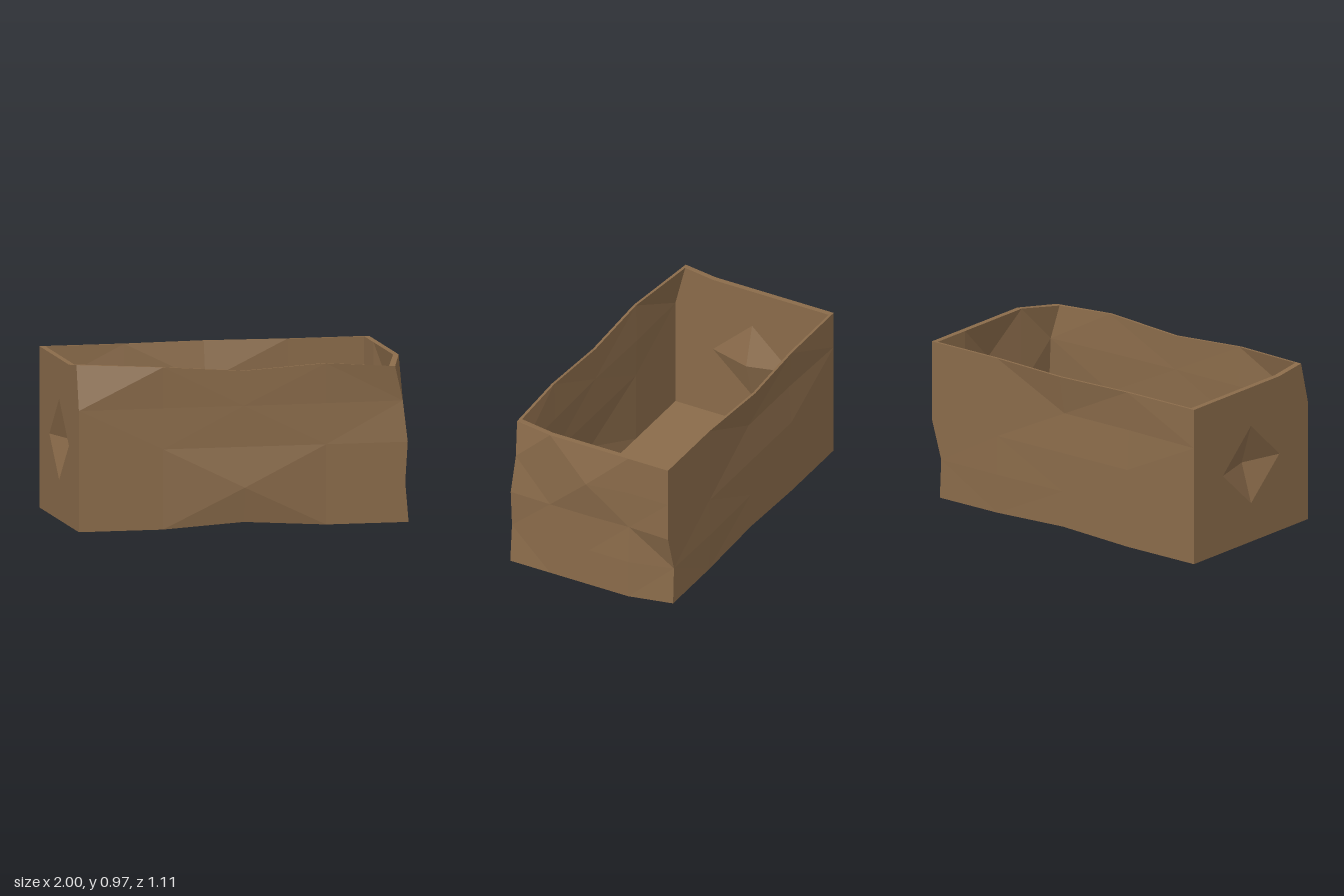
import * as THREE from 'three';

const XS = [-1, -0.5, -0.02, 0.47, 0.96];
const YS = [0, 0.235, 0.47, 0.71, 0.945];
const ZS = [-0.525, -0.26, 0, 0.26, 0.525];

// Dents and bulges: 'column,row,depth' -> [dx, dy, dz]
const DENTS = {
  // front wall
  '0,4,4': [0, 0.025, -0.065], '1,4,4': [0, 0.005, 0], '2,4,4': [0, -0.03, 0],
  '4,4,4': [-0.08, -0.03, 0], '4,3,4': [-0.03, 0, -0.02], '4,2,4': [-0.005, 0, 0],
  '4,1,4': [-0.02, 0, 0], '2,1,4': [0, 0, 0.033], '2,0,4': [0, 0.03, 0],
  '3,3,4': [0, 0, -0.008], '1,3,4': [0, 0, -0.006],
  // back wall
  '2,4,0': [0, 0, -0.03], '2,3,0': [0, 0, 0.015], '1,3,0': [0, 0, 0.015],
  '2,0,0': [0, 0.02, 0], '4,1,0': [-0.07, 0, 0], '4,0,0': [-0.06, 0, 0],
  '3,1,0': [0, 0, -0.005],
  // long-end walls
  '4,3,2': [0.04, 0, 0], '4,2,1': [-0.01, 0, 0], '0,2,2': [0.07, 0, 0],
};

// Sixteen columns running anticlockwise round the box, from the front -x corner
const RING = [];
for (let i = 0; i < 4; i++) RING.push([i, 4]);
for (let i = 0; i < 4; i++) RING.push([4, 4 - i]);
for (let i = 0; i < 4; i++) RING.push([4 - i, 0]);
for (let i = 0; i < 4; i++) RING.push([0, i]);

function outer(k, j) {
  const [ix, iz] = RING[k % 16];
  const d = DENTS[`${ix},${j},${iz}`] || [0, 0, 0];
  return [XS[ix] + d[0], YS[j] + d[1], ZS[iz] + d[2]];
}

// Same surface moved in by the wall thickness, standing on a raised floor
function inner(k, j) {
  const [ix, iz] = RING[k % 16];
  const [x, y, z] = outer(k, j);
  const side = (i) => (i === 0 ? 1 : i === 4 ? -1 : 0);
  return [x + side(ix) * 0.033, j === 0 ? 0.035 : y, z + side(iz) * 0.015];
}

function addPart(group, name, triangles, material) {
  const geometry = new THREE.BufferGeometry();
  geometry.setAttribute('position', new THREE.Float32BufferAttribute(triangles.flat(2), 3));
  geometry.computeVertexNormals();
  const mesh = new THREE.Mesh(geometry, material);
  mesh.name = name;
  group.add(mesh);
}

// Four walls, with diagonals meeting at every other grid point
function walls(point, inward) {
  const tris = [];
  for (let k = 0; k < 16; k++) {
    for (let j = 0; j < 4; j++) {
      const a = point(k, j), b = point(k + 1, j);
      const c = point(k + 1, j + 1), d = point(k, j + 1);
      if ((k + j) % 2) tris.push([a, b, c], [a, c, d]);
      else tris.push([a, b, d], [b, c, d]);
    }
  }
  return inward ? tris.map(([a, b, c]) => [a, c, b]) : tris;
}

// Flat panel fanned out from the middle
function panel(point, y, up) {
  const tris = [];
  for (let k = 0; k < 16; k++) {
    const a = point(k, 0), b = point(k + 1, 0), m = [0, y, 0];
    tris.push(up ? [m, a, b] : [m, b, a]);
  }
  return tris;
}

function rim() {
  const tris = [];
  for (let k = 0; k < 16; k++) {
    const a = outer(k, 4), b = outer(k + 1, 4), c = inner(k + 1, 4), d = inner(k, 4);
    tris.push([a, b, c], [a, c, d]);
  }
  return tris;
}

export function createModel() {
  const brown = new THREE.MeshStandardMaterial({ color: 0x8a6b4a });
  brown.name = 'cardboardBrown';
  brown.flatShading = true;

  const group = new THREE.Group();
  group.name = 'openBox';
  addPart(group, 'outerWalls', walls(outer, false), brown);
  addPart(group, 'innerWalls', walls(inner, true), brown);
  addPart(group, 'rim', rim(), brown);
  addPart(group, 'base', panel(outer, 0, false), brown);
  addPart(group, 'floor', panel(inner, 0.035, true), brown);
  return group;
}
